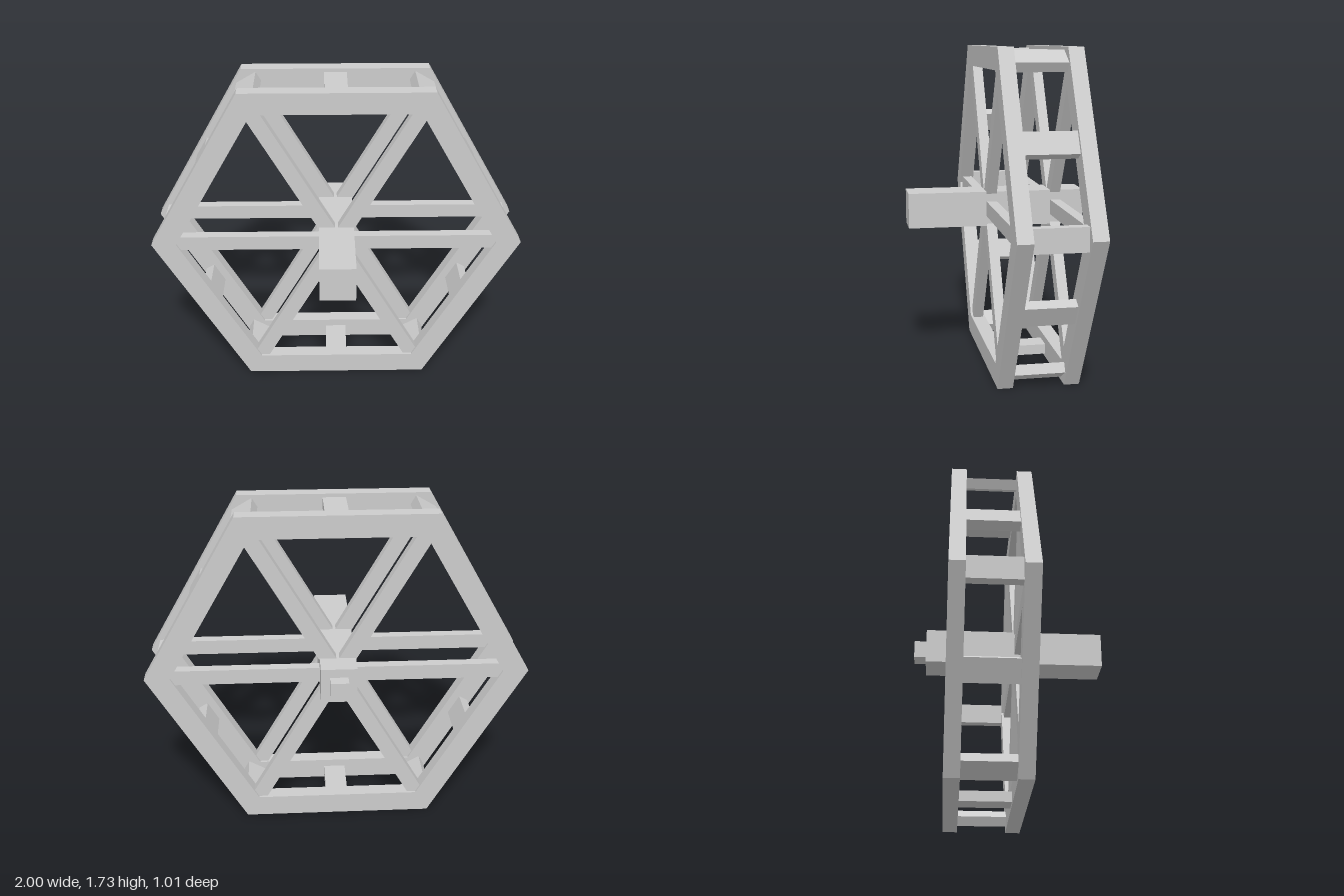
import * as THREE from 'three';

const CY = 0.866;                 // axle height
const RING_Z = [0.06, -0.29];     // centre planes of the two rims
const RING_DEPTH = 0.08;

export function createModel() {
  const wheel = new THREE.Group();
  wheel.name = 'hexagonalWheel';
  const material = new THREE.MeshStandardMaterial({ color: 0xcccccc, flatShading: true });

  const add = (name, geometry, parent = wheel) => {
    const mesh = new THREE.Mesh(geometry, material);
    mesh.name = name;
    parent.add(mesh);
    return mesh;
  };

  const hexagon = (radius) => Array.from({ length: 6 }, (_, i) => {
    const a = (i * Math.PI) / 3;
    return new THREE.Vector2(radius * Math.cos(a), radius * Math.sin(a));
  });

  // Hexagonal rim with a hexagonal opening
  const rimShape = new THREE.Shape(hexagon(1));
  rimShape.holes.push(new THREE.Path(hexagon(0.867)));
  const rimGeometry = new THREE.ExtrudeGeometry(rimShape, { depth: RING_DEPTH, bevelEnabled: false });
  rimGeometry.translate(0, 0, -RING_DEPTH / 2);

  // Two rims, each with three bars crossing at the hub to form six spokes
  const spokeGeometry = new THREE.BoxGeometry(1.77, 0.08, 0.055);
  RING_Z.forEach((z, r) => {
    const side = new THREE.Group();
    side.name = r === 0 ? 'frontWheelSide' : 'backWheelSide';
    side.position.set(0, CY, z);
    add('rim', rimGeometry, side);
    for (let i = 0; i < 3; i++) {
      add('spokePair', spokeGeometry, side).rotation.z = (i * Math.PI) / 3;
    }
    wheel.add(side);
  });

  // Crossbars joining the rims at every corner and every edge middle
  const barGeometry = new THREE.BoxGeometry(0.055, 0.12, 0.27);
  for (let i = 0; i < 12; i++) {
    const a = (i * Math.PI) / 6;
    const radius = i % 2 === 0 ? 0.92 : 0.82;
    const bar = add(i % 2 === 0 ? 'cornerCrossbar' : 'edgeCrossbar', barGeometry);
    bar.position.set(radius * Math.cos(a), CY + radius * Math.sin(a), -0.115);
    bar.rotation.z = a;
  }

  // Square axle and the smaller pin at its back end
  add('axle', new THREE.BoxGeometry(0.187, 0.187, 0.95)).position.set(0, CY, 0.032);
  add('axlePin', new THREE.BoxGeometry(0.094, 0.094, 0.075)).position.set(0, CY, -0.47);

  return wheel;
}
